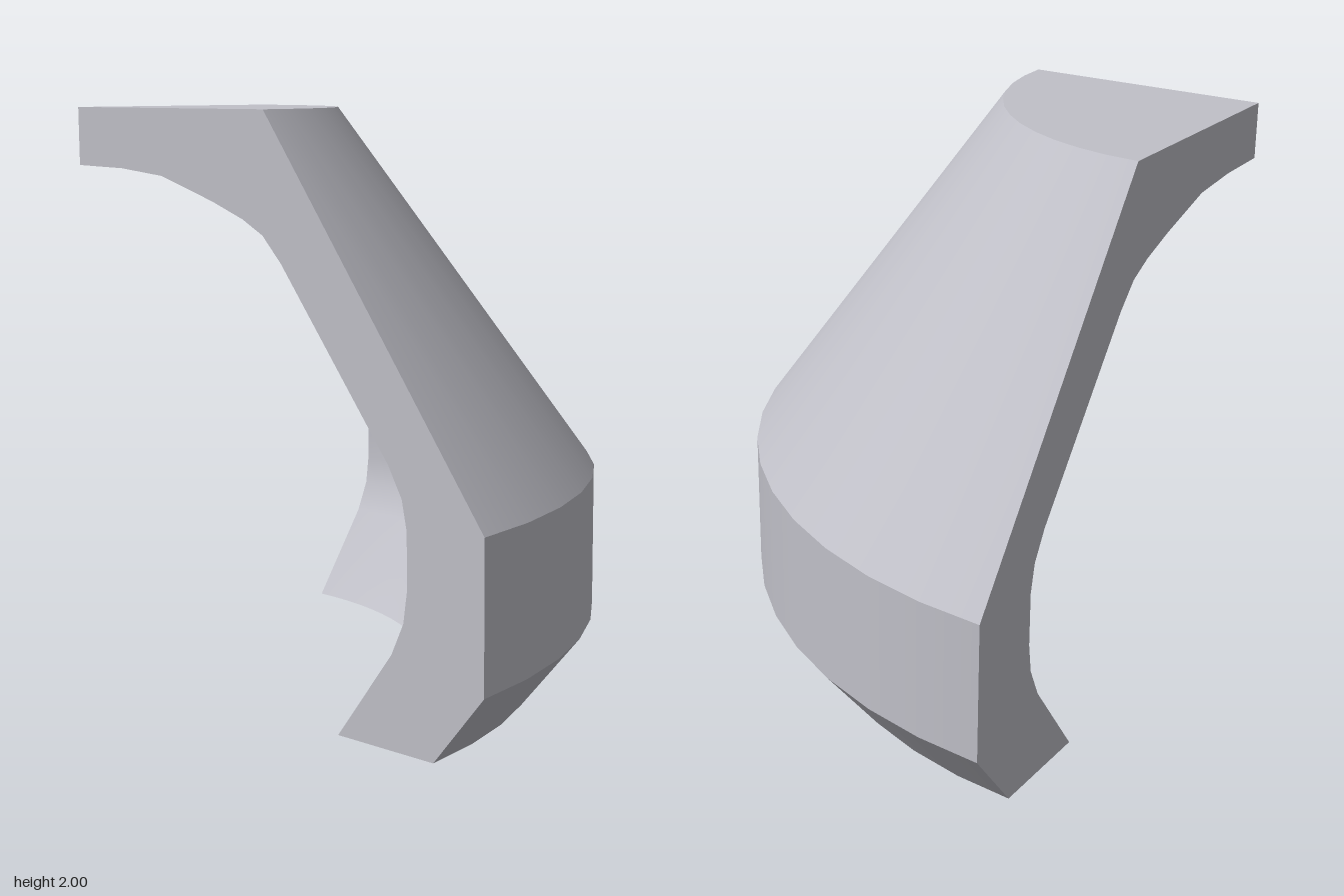
import * as THREE from 'three';

const SEGMENTS = 12;
const AXIS = -0.9; // the axis of revolution stands on the back corner

const points = (list) => list.map(([r, y]) => new THREE.Vector2(r, y));

export function createModel() {
  const model = new THREE.Group();
  model.name = 'quarterShell';
  const grey = new THREE.MeshStandardMaterial({ color: 0xc0c0c8 });
  grey.name = 'pale grey';

  const add = (name, geometry) => {
    const mesh = new THREE.Mesh(geometry, grey);
    mesh.name = name;
    mesh.position.set(AXIS, 0, AXIS);
    model.add(mesh);
  };

  // Radius and height, counter-clockwise: outside from rim to top, then cavity back down
  const outer = [[1.2, 0], [1.6, 0], [1.8, 0.25], [1.8, 0.75], [0.9, 2], [0, 2]];
  const inner = [
    [0, 1.8], [0.22, 1.795], [0.42, 1.775], [0.66, 1.7], [0.8, 1.648], [0.89, 1.6],
    [0.97, 1.515], [1.42, 0.92], [1.475, 0.82], [1.495, 0.72], [1.495, 0.53],
    [1.48, 0.425], [1.43, 0.315], [1.2, 0],
  ];

  // Outer bands, one lathe each so the edges between them stay sharp
  ['bottomRim', 'lowerBevel', 'sideBand', 'cone', 'topCap'].forEach((name, i) => {
    add(name, new THREE.LatheGeometry(points([outer[i], outer[i + 1]]), SEGMENTS, 0, Math.PI / 2));
  });

  // Smooth hollow inside
  add('cavity', new THREE.LatheGeometry(points(inner), SEGMENTS * 2, 0, Math.PI / 2));

  // Flat cut faces along both straight sides
  const section = [...outer, ...inner];
  const sideCut = new THREE.ShapeGeometry(new THREE.Shape(points(section)));
  add('sideCutFace', sideCut.rotateY(-Math.PI / 2));
  const mirrored = section.map(([r, y]) => [-r, y]).reverse();
  const backCut = new THREE.ShapeGeometry(new THREE.Shape(points(mirrored)));
  add('backCutFace', backCut.rotateY(Math.PI));

  return model;
}
